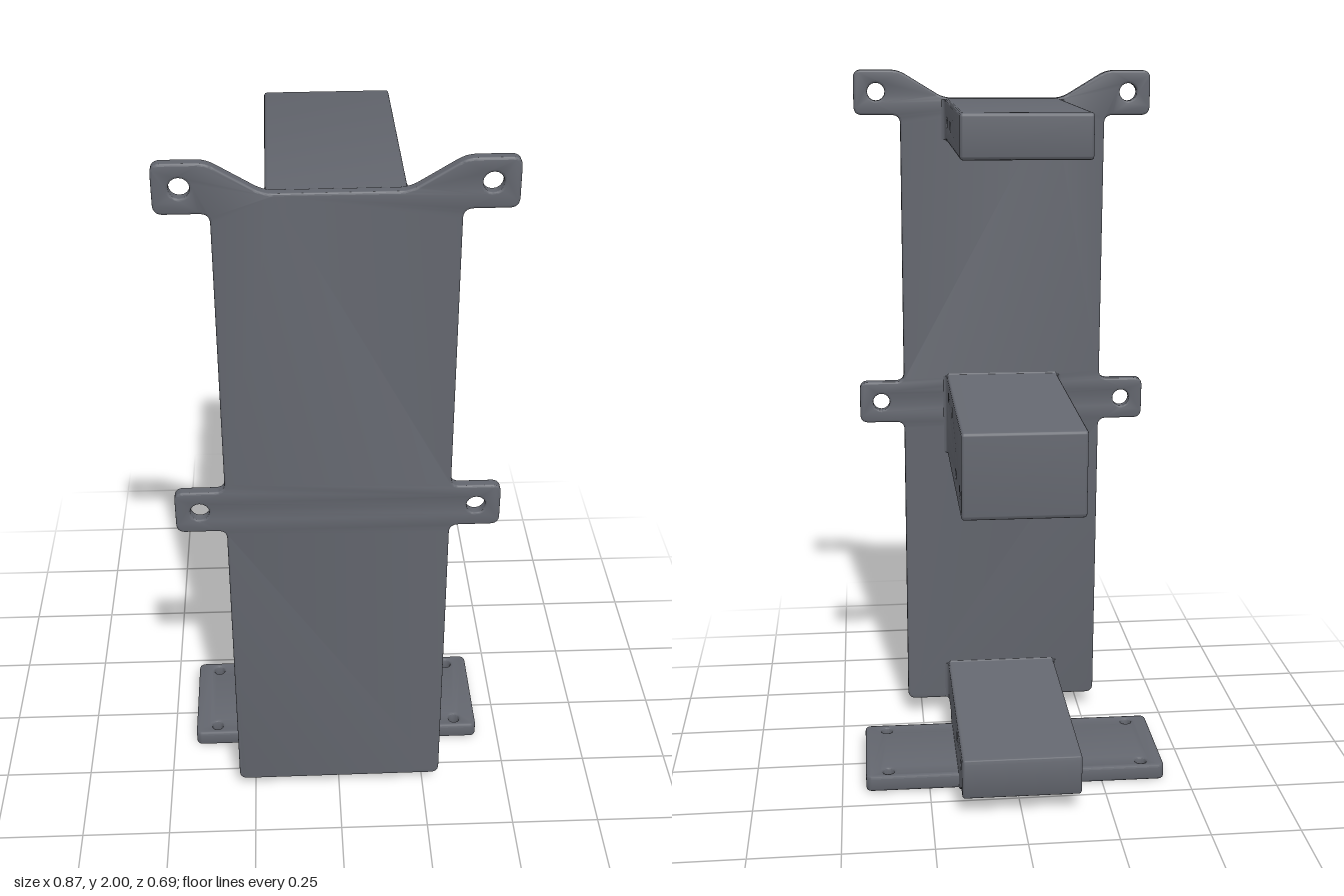
import * as THREE from 'three';
import { toCreasedNormals } from 'three/addons/utils/BufferGeometryUtils.js';

// polygon with rounded corners
function rounded(coords, r) {
  const pts = coords.map(([x, y]) => new THREE.Vector2(x, y));
  const shape = new THREE.Shape();
  pts.forEach((p, i) => {
    const a = pts[(i + pts.length - 1) % pts.length], b = pts[(i + 1) % pts.length];
    const da = a.clone().sub(p), db = b.clone().sub(p);
    const s = p.clone().add(da.setLength(Math.min(r, da.length() / 2)));
    const e = p.clone().add(db.setLength(Math.min(r, db.length() / 2)));
    if (i) shape.lineTo(s.x, s.y); else shape.moveTo(s.x, s.y);
    shape.quadraticCurveTo(p.x, p.y, e.x, e.y);
  });
  shape.closePath();
  return shape;
}

function addHole(shape, x, y, r) {
  shape.holes.push(new THREE.Path().absarc(x, y, r, 0, Math.PI * 2, true));
}

// centred extrusion along z whose bevel stays inside the outline
function slab(shape, thickness, bevel) {
  const geo = new THREE.ExtrudeGeometry(shape, {
    depth: thickness - 2 * bevel, bevelEnabled: bevel > 0, bevelThickness: bevel,
    bevelSize: bevel, bevelOffset: -bevel, bevelSegments: 3, curveSegments: 8,
  });
  geo.translate(0, 0, bevel - thickness / 2);
  return toCreasedNormals(geo, 0.6);
}

export function createModel() {
  const grey = new THREE.MeshStandardMaterial({ color: 0x63666e });
  grey.name = 'slate grey';
  const group = new THREE.Group();
  const add = (geo, name, parent = group) => {
    const m = new THREE.Mesh(geo, grey);
    m.name = name;
    parent.add(m);
    return m;
  };

  // back plate with four mounting ears
  const half = [
    [0.295, 0.055], [0.295, 0.965], [0.427, 0.965], [0.427, 1.09], [0.295, 1.09],
    [0.295, 1.872], [0.427, 1.872], [0.427, 1.998], [0.30, 1.998], [0.17, 1.92],
  ];
  const outline = rounded([...half, ...half.map(([x, y]) => [-x, y]).reverse()], 0.025);
  for (const s of [-1, 1]) for (const y of [1.028, 1.937]) addHole(outline, s * 0.363, y, 0.025);
  add(slab(outline, 0.031, 0.006), 'backPlate').position.z = 0.3295;

  // three arms with blind screw holes on both sides
  const W = 0.167, F = 0.315, R = 0.02;
  const front = [0.232, 0.067], rear = [-0.098, -0.263];
  const arms = [
    { name: 'topArm', y0: 1.802, y1: 1.918, lower: true, upper: false, holes: front.map(z => [z, 1.857]) },
    { name: 'middleArm', y0: 0.868, y1: 1.108, lower: true, upper: true,
      holes: [...front.map(z => [z, 1.057]), ...rear.map(z => [z, 0.925])] },
    { name: 'bottomArm', y0: 0.056, y1: 0.175, lower: false, upper: true, holes: rear.map(z => [z, 0.122]) },
  ];
  for (const { name, y0, y1, lower, upper, holes } of arms) {
    const arm = new THREE.Group();
    arm.name = name;
    group.add(arm);
    const pts = [[-0.345, y0]];
    if (lower) pts.push([F, y0], [F, y0 - R]);
    pts.push([0.33, lower ? y0 - R : y0], [0.33, upper ? y1 + R : y1]);
    if (upper) pts.push([F, y1 + R], [F, y1]);
    pts.push([-0.345, y1]);
    const side = rounded(pts, 0.013);
    for (const [z, y] of holes) addHole(side, z, y, 0.009);
    add(slab(side, 2 * W, 0.008).rotateY(-Math.PI / 2), name + 'Block', arm);
    // hole bottoms
    for (const [z, y] of holes) {
      add(new THREE.CylinderGeometry(0.0095, 0.0095, 0.2, 12).rotateZ(Math.PI / 2), 'holeCore', arm)
        .position.set(0, y, z);
    }
    // fillets where the arm sides meet the plate
    for (const s of [-1, 1]) {
      const f = new THREE.Shape();
      f.moveTo(s * (W - 0.01), -F - 0.002);
      f.lineTo(s * (W + R), -F - 0.002);
      f.quadraticCurveTo(s * W, -F, s * W, -F + R);
      f.lineTo(s * (W - 0.01), -F + R);
      f.closePath();
      add(slab(f, y1 - y0 - 0.004, 0).rotateX(-Math.PI / 2), 'sideFillet', arm).position.y = (y0 + y1) / 2;
    }
  }

  // foot plate with four holes
  const foot = rounded([[-0.432, -0.145], [0.432, -0.145], [0.432, 0.182], [-0.432, 0.182]], 0.02);
  for (const s of [-1, 1]) for (const y of [-0.108, 0.147]) addHole(foot, s * 0.367, y, 0.016);
  add(slab(foot, 0.047, 0.008).rotateX(-Math.PI / 2), 'footPlate').position.y = 0.0275;

  // tapered neck between the bottom arm and the foot
  const neck = rounded([[-0.19, 0.005], [0.15, 0.005], [0.21, 0.056], [0.21, 0.07], [-0.28, 0.07], [-0.28, 0.056]], 0.01);
  add(slab(neck, 2 * W, 0.004).rotateY(-Math.PI / 2), 'footNeck');

  // the whole bracket leans very slightly
  group.rotation.z = 0.005;
  const root = new THREE.Group();
  root.name = 'wallBracket';
  root.add(group);
  group.name = 'bracket';
  return root;
}
